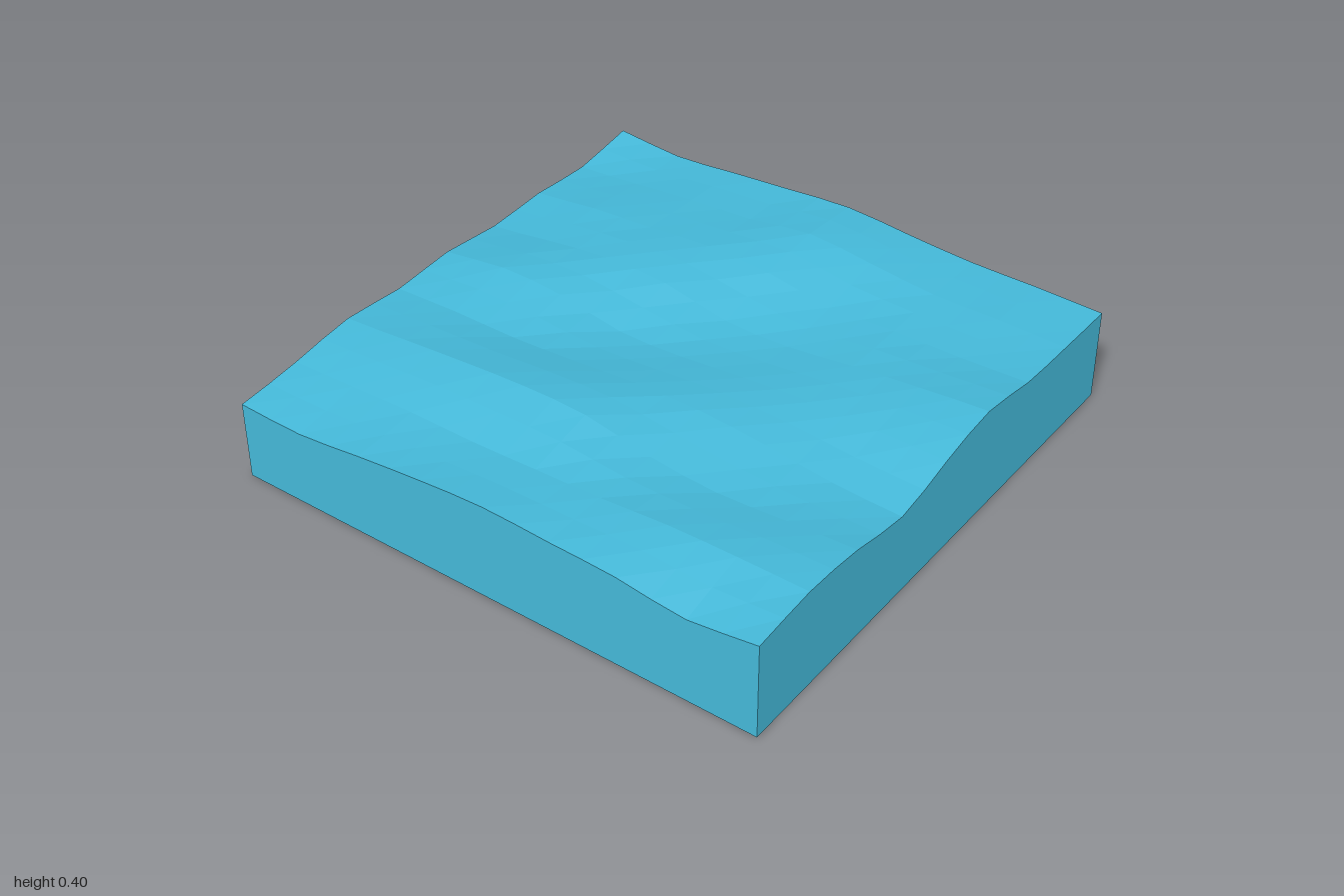
import * as THREE from 'three';

// Wave heights in hundredths: one row per x from -1 to 1, each running from z = -1 to 1
const SWELL = [
  [34, 30.5, 32, 31, 33.5, 32, 34, 31, 29],
  [32, 32.5, 35, 34.5, 37, 33, 36, 32, 28.5],
  [34, 35, 36.5, 37.5, 36, 33, 38, 33, 31.5],
  [36, 36.5, 38.5, 37, 31.5, 34.5, 39.5, 33, 34.2],
  [37.8, 40, 37.5, 32, 32, 36.5, 39.2, 34, 36],
  [36, 37.5, 33.5, 32, 34.5, 37, 34.5, 35, 35.2],
  [34.5, 35, 34.5, 35, 36, 35, 32.5, 37, 34.5],
  [34.5, 35, 34.5, 37.5, 36, 32, 34, 37.5, 31.8],
  [34, 34.5, 35.5, 39.5, 36, 31, 35.5, 37.5, 35.5],
];

// Smooth curve through evenly spaced samples, t from 0 to 1
function smooth(values, t) {
  const last = values.length - 1;
  const i = Math.min(Math.floor(t * last), last - 1);
  const f = t * last - i;
  const at = (k) => values[Math.max(0, Math.min(last, k))];
  const [a, b, c, d] = [at(i - 1), at(i), at(i + 1), at(i + 2)];
  return b + 0.5 * f * (c - a + f * (2 * a - 5 * b + 4 * c - d + f * (3 * (b - c) + d - a)));
}

function waveHeight(x, z) {
  const along = SWELL.map((row) => smooth(row, (z + 1) / 2));
  return smooth(along, (x + 1) / 2) / 100;
}

export function createModel() {
  const group = new THREE.Group();
  group.name = 'waterTile';

  // Solid block of water: flat base, straight sides, rippled top
  const geometry = new THREE.BoxGeometry(2, 1, 2, 16, 1, 16);
  const p = geometry.attributes.position;
  for (let i = 0; i < p.count; i++) {
    p.setY(i, p.getY(i) > 0 ? waveHeight(p.getX(i), p.getZ(i)) : 0);
  }
  geometry.computeVertexNormals();

  const water = new THREE.Mesh(
    geometry,
    new THREE.MeshStandardMaterial({ color: 0x44b8d8, flatShading: true })
  );
  water.name = 'waterBlock';
  group.add(water);
  return group;
}
